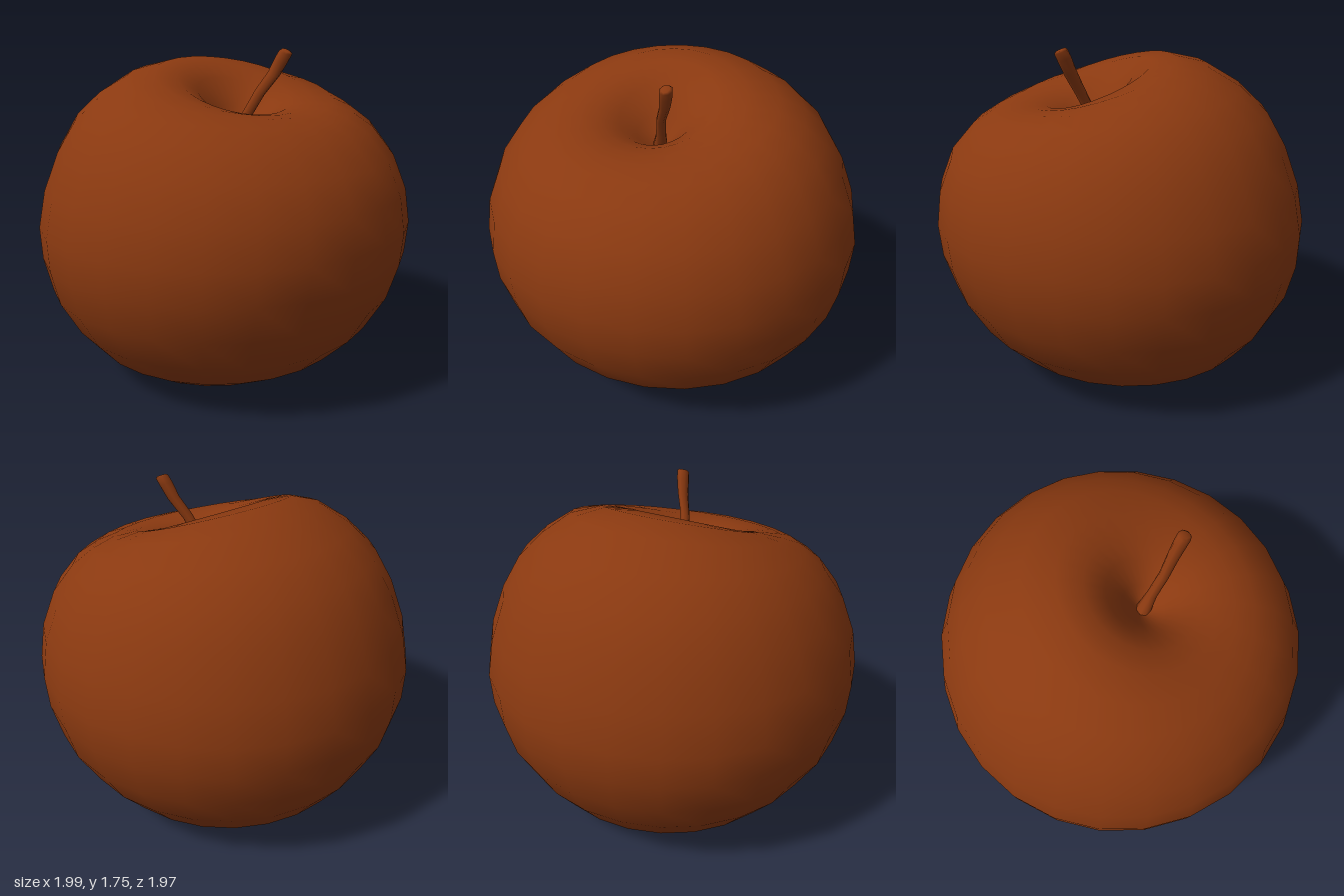
import * as THREE from 'three';

// Skin a stack of tilted elliptical rings, listed from bottom to top.
// Ring: [centre x, front z, front y, back z, back y, half width]
function loft(rings, seg) {
  const pos = [], idx = [];
  rings.forEach(([cx, zf, yf, zb, yb, rx], i) => {
    for (let j = 0; j < seg; j++) {
      const a = (j / seg) * Math.PI * 2, c = Math.cos(a);
      pos.push(cx + rx * Math.sin(a), (yf + yb) / 2 + c * (yf - yb) / 2, (zf + zb) / 2 + c * (zf - zb) / 2);
      if (i < rings.length - 1) {
        const p = i * seg + j, q = i * seg + (j + 1) % seg;
        idx.push(p, q, p + seg, q, q + seg, p + seg);
      }
    }
  });
  const g = new THREE.BufferGeometry();
  g.setAttribute('position', new THREE.Float32BufferAttribute(pos, 3));
  g.setIndex(idx);
  g.computeVertexNormals();
  return g;
}

export function createModel() {
  const group = new THREE.Group();
  const brown = new THREE.MeshStandardMaterial({ color: 0x8a3910 });
  brown.name = 'russet brown';
  const add = (name, geometry) => {
    const mesh = new THREE.Mesh(geometry, brown);
    mesh.name = name;
    group.add(mesh);
    return mesh;
  };

  // Fruit: from the hollow underneath, round the belly, into the stem hollow
  add('fruit', loft([
    [-0.02, -0.09, 0.17, -0.09, 0.17, 0],
    [-0.02, 0.0, 0.15, -0.18, 0.15, 0.09],
    [-0.02, 0.06, 0.06, -0.26, 0.08, 0.17],
    [-0.01, 0.12, 0.015, -0.38, 0.035, 0.29],
    [0, 0.3, 0.02, -0.52, 0.04, 0.43],
    [0, 0.48, 0.07, -0.62, 0.08, 0.57],
    [0, 0.65, 0.17, -0.73, 0.17, 0.71],
    [0, 0.8, 0.32, -0.84, 0.32, 0.84],
    [0, 0.91, 0.51, -0.93, 0.5, 0.945],
    [0, 0.97, 0.7, -0.975, 0.68, 0.99],
    [0, 0.985, 0.87, -0.98, 0.85, 1.0],
    [0, 0.96, 1.05, -0.94, 1.05, 0.965],
    [0, 0.89, 1.22, -0.86, 1.26, 0.89],
    [0, 0.77, 1.355, -0.76, 1.43, 0.79],
    [0, 0.66, 1.42, -0.62, 1.56, 0.68],
    [0, 0.56, 1.45, -0.44, 1.665, 0.56],
    [-0.01, 0.47, 1.455, -0.28, 1.7, 0.42],
    [-0.02, 0.39, 1.45, -0.16, 1.675, 0.3],
    [-0.02, 0.3, 1.42, -0.06, 1.6, 0.2],
    [-0.02, 0.22, 1.37, 0.02, 1.46, 0.11],
    [-0.01, 0.15, 1.33, 0.08, 1.36, 0.04],
    [-0.01, 0.11, 1.32, 0.11, 1.32, 0],
  ], 26));

  // Stem: leans forward and left, swelling at the tip
  add('stem', loft([
    [-0.01, 0.16, 1.31, 0.09, 1.35, 0.04],
    [0.02, 0.2, 1.42, 0.15, 1.44, 0.026],
    [0.05, 0.26, 1.525, 0.21, 1.555, 0.025],
    [0.095, 0.32, 1.62, 0.26, 1.65, 0.028],
    [0.115, 0.355, 1.69, 0.29, 1.72, 0.033],
    [0.125, 0.375, 1.73, 0.31, 1.755, 0.033],
    [0.125, 0.37, 1.74, 0.32, 1.76, 0.02],
    [0.125, 0.345, 1.75, 0.345, 1.75, 0],
  ], 8));

  // Dried sepals crumpled in the hollow underneath
  for (let i = 0; i < 5; i++) {
    const a = (i / 5) * Math.PI * 2 + 0.3;
    const sepal = add('sepal' + (i + 1), new THREE.ConeGeometry(0.04, 0.13, 5));
    sepal.scale.z = 0.45;
    sepal.position.set(-0.02 + 0.05 * Math.sin(a), 0.11, -0.09 + 0.05 * Math.cos(a));
    sepal.rotation.set(Math.PI + (i % 2 ? 0.35 : 0.6), a, 0, 'YXZ');
  }
  return group;
}
